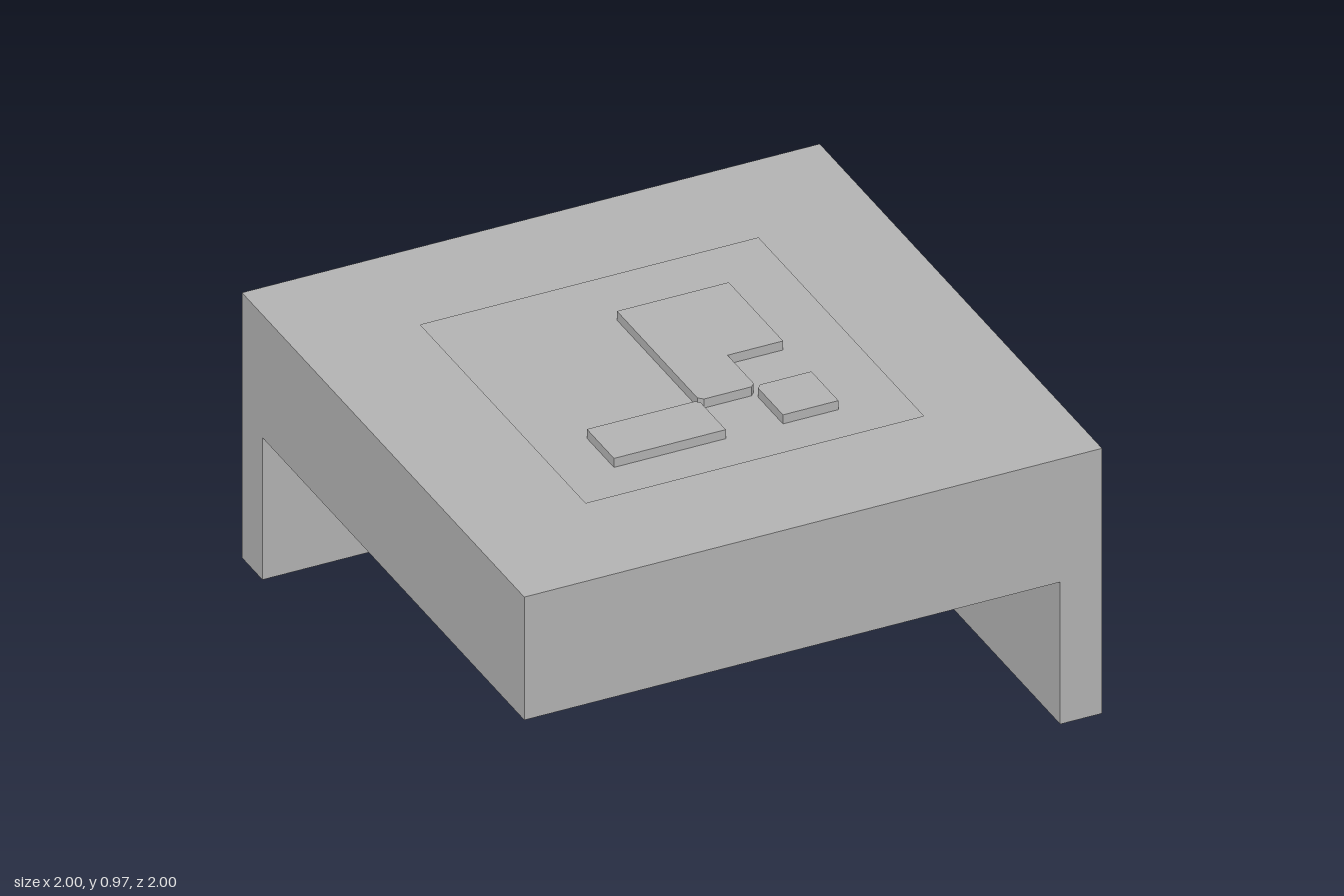
import * as THREE from 'three';

const TOP = 0.97, FLOOR = 0.937, UNDERSIDE = 0.52;
const WALL = 0.855;   // inner face of the two hanging walls
const R = 0.585;      // half width of the recess
const C = 0.015;      // small corner cut where pads nearly touch

const points = (list) => list.map(([x, z]) => new THREE.Vector2(x, -z));
const square = (h) => [[-h, -h], [h, -h], [h, h], [-h, h]];

// Extrudes a plan outline of [x, z] points upward from y0 to y1
function prism(name, outline, y0, y1, material, hole) {
  const shape = new THREE.Shape(points(outline));
  if (hole) shape.holes.push(new THREE.Path(points(hole)));
  const geometry = new THREE.ExtrudeGeometry(shape, { depth: y1 - y0, bevelEnabled: false });
  geometry.rotateX(-Math.PI / 2);
  geometry.translate(0, y0, 0);
  const mesh = new THREE.Mesh(geometry, material);
  mesh.name = name;
  return mesh;
}

export function createModel() {
  const grey = new THREE.MeshStandardMaterial({ color: 0xb2b2b2 });
  grey.name = 'grey';
  const model = new THREE.Group();
  model.name = 'cornerCap';

  // Top slab: solid lower layer, and a rim around the shallow square recess
  model.add(prism('slab', square(1), UNDERSIDE, FLOOR, grey));
  model.add(prism('recessRim', square(1), FLOOR, TOP, grey, square(R)));

  // L-shaped wall hanging below the back and left edges
  model.add(prism('cornerWall', [
    [-1, -1], [1, -1], [1, 1], [WALL, 1], [WALL, -WALL], [-1, -WALL],
  ], 0, UNDERSIDE, grey));

  // Raised pads in the recess, flush with the rim
  const pads = {
    largePad: [
      [0, -0.39], [0.387, -0.39], [0.387, -0.005], [0.195, -0.005],
      [0.195, 0.195 - C], [0.195 - C, 0.195], [C, 0.195], [0, 0.195 - C],
    ],
    widePad: [[-0.39, 0.195], [-C, 0.195], [-0.003, 0.195 + C], [-0.003, 0.387], [-0.39, 0.387]],
    smallPad: [[0.195 + C, 0.195], [0.387, 0.195], [0.387, 0.387], [0.195, 0.387], [0.195, 0.195 + C]],
  };
  for (const [name, outline] of Object.entries(pads)) {
    model.add(prism(name, outline, FLOOR, TOP, grey));
  }
  return model;
}
